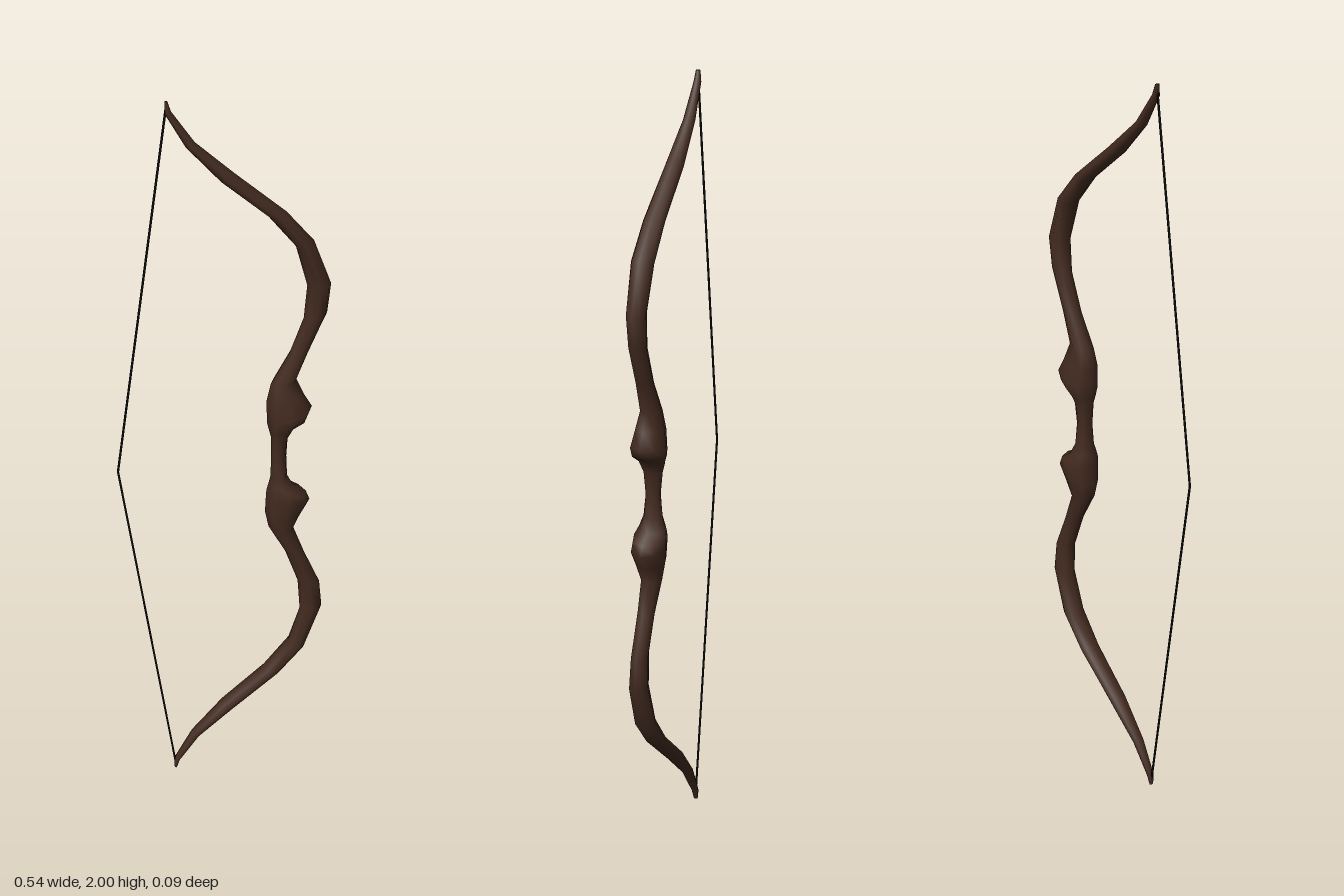
import * as THREE from 'three';

// Upper half sections, tip to grip: inner x, inner y, outer x, outer y, half width in z
const HALF = [
  [-0.135, 2.0, -0.128, 2.0, 0.006],
  [-0.135, 1.97, -0.12, 1.975, 0.01],
  [-0.087, 1.882, -0.066, 1.894, 0.016],
  [-0.004, 1.786, 0.028, 1.806, 0.024],
  [0.11, 1.685, 0.153, 1.695, 0.028],
  [0.177, 1.6, 0.221, 1.612, 0.03],
  [0.207, 1.49, 0.266, 1.49, 0.025],
  [0.2, 1.4, 0.258, 1.41, 0.022],
  [0.165, 1.3, 0.215, 1.308, 0.023],
  [0.12, 1.216, 0.185, 1.226, 0.028],
  [0.11, 1.168, 0.205, 1.18, 0.038],
  [0.112, 1.115, 0.226, 1.142, 0.045],
  [0.113, 1.1, 0.216, 1.115, 0.043],
  [0.118, 1.08, 0.184, 1.095, 0.035],
  [0.123, 1.06, 0.166, 1.06, 0.026],
  [0.124, 1.0, 0.163, 1.0, 0.02],
];

// Skins a list of elliptical sections running from top to bottom
function loft(sections, sides) {
  const pos = [], idx = [];
  for (const [ix, iy, ox, oy, w] of sections) {
    for (let j = 0; j < sides; j++) {
      const t = (j / sides) * Math.PI * 2, c = Math.cos(t) / 2;
      pos.push((ix + ox) / 2 + (ox - ix) * c, (iy + oy) / 2 + (oy - iy) * c, w * Math.sin(t));
    }
  }
  const n = sections.length;
  for (let i = 0; i < n - 1; i++) {
    for (let j = 0; j < sides; j++) {
      const k = (j + 1) % sides;
      const a = i * sides + j, b = i * sides + k;
      idx.push(a, b, a + sides, b, b + sides, a + sides);
    }
  }
  // end caps
  const last = (n - 1) * sides;
  for (let j = 1; j < sides - 1; j++) {
    idx.push(0, j + 1, j, last, last + j, last + j + 1);
  }
  const geo = new THREE.BufferGeometry();
  geo.setAttribute('position', new THREE.Float32BufferAttribute(pos, 3));
  geo.setIndex(idx);
  geo.computeVertexNormals();
  return geo;
}

export function createModel() {
  const wood = new THREE.MeshStandardMaterial({ color: 0x432b20 });
  wood.name = 'darkWood';
  const cord = new THREE.MeshStandardMaterial({ color: 0x0a0a0a });
  cord.name = 'blackCord';
  const group = new THREE.Group();
  group.name = 'bow';

  // Limbs and grip in one piece, mirrored about y = 1
  const lower = HALF.slice(0, -1).reverse().map(([ix, iy, ox, oy, w]) => [ix, 2 - iy, ox, 2 - oy, w]);
  const stave = new THREE.Mesh(loft([...HALF, ...lower], 8), wood);
  stave.name = 'stave';
  group.add(stave);

  // Drawn string: two straight runs meeting at the nocking point
  const nock = new THREE.Vector3(-0.267, 1, 0);
  for (const [name, y] of [['upperString', 1.992], ['lowerString', 0.008]]) {
    const path = new THREE.LineCurve3(new THREE.Vector3(-0.131, y, 0), nock);
    const string = new THREE.Mesh(new THREE.TubeGeometry(path, 1, 0.003, 6), cord);
    string.name = name;
    group.add(string);
  }
  const knot = new THREE.Mesh(new THREE.SphereGeometry(0.003, 6, 4), cord);
  knot.name = 'nockingPoint';
  knot.position.copy(nock);
  group.add(knot);
  return group;
}
